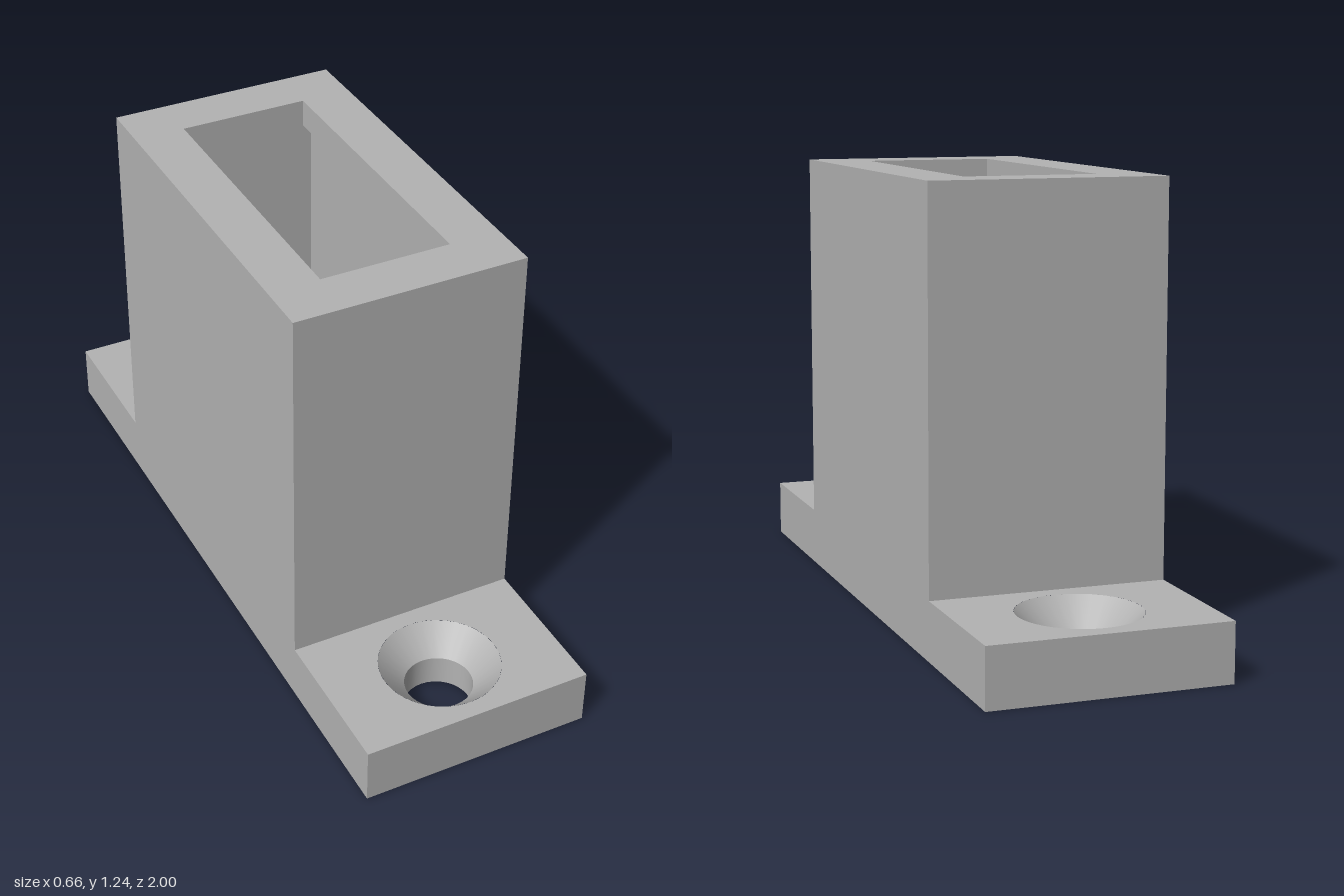
import * as THREE from 'three';

const W = 0.33, BASE_D = 1, BASE_H = 0.163;       // mounting base
const BODY_D = 0.57, TOP = 1.24;                  // hollow body
const CAV_W = 0.235, CAV_D = 0.475;               // cavity, open at the bottom
const LIP_W = 0.185, LIP_D = 0.427, LIP_Y = 1.16; // narrower mouth at the top
const HOLE_Z = 0.785, HOLE_R = 0.094, SINK_R = 0.167, SINK_Y = 0.088;
const SEGMENTS = 32;

// Rectangular outline, centred on (0, cy)
function rect(w, d, cy = 0, Type = THREE.Path) {
  const path = new Type();
  path.moveTo(-w, cy - d).lineTo(w, cy - d).lineTo(w, cy + d).lineTo(-w, cy + d).closePath();
  return path;
}

function circle(r, cy) {
  return new THREE.Path().absarc(0, cy, r, 0, Math.PI * 2, true);
}

// Horizontal face with holes, facing up or down
function flat(outline, holes, y, up) {
  outline.holes.push(...holes);
  return new THREE.ShapeGeometry(outline, SEGMENTS)
    .rotateX(up ? -Math.PI / 2 : Math.PI / 2)
    .translate(0, y, 0);
}

// Four upright walls; y0 < y1 faces outward, y0 > y1 faces inward
function walls(w, d, y0, y1) {
  const corners = [[w, d], [w, -d], [-w, -d], [-w, d]];
  const pos = [];
  corners.forEach(([x, z], i) => {
    const [nx, nz] = corners[(i + 1) % 4];
    pos.push(x, y0, z, nx, y0, nz, nx, y1, nz);
    pos.push(x, y0, z, nx, y1, nz, x, y1, z);
  });
  const geo = new THREE.BufferGeometry();
  geo.setAttribute('position', new THREE.Float32BufferAttribute(pos, 3));
  geo.computeVertexNormals();
  return geo;
}

// Inward-facing round wall from the upper to the lower radius
function bore(rTop, yTop, rLow, yLow, z) {
  const profile = [new THREE.Vector2(rTop, yTop), new THREE.Vector2(rLow, yLow)];
  return new THREE.LatheGeometry(profile, SEGMENTS).translate(0, 0, z);
}

export function createModel() {
  const model = new THREE.Group();
  model.name = 'mountingSocket';
  const grey = new THREE.MeshStandardMaterial({ color: 0xb3b3b3 });
  grey.name = 'grey';

  const part = (name, faces) => {
    const group = new THREE.Group();
    group.name = name;
    for (const [faceName, geo] of Object.entries(faces)) {
      const mesh = new THREE.Mesh(geo, grey);
      mesh.name = faceName;
      group.add(mesh);
    }
    model.add(group);
  };

  // Base plate with its openings underneath
  part('base', {
    baseSides: walls(W, BASE_D, 0, BASE_H),
    baseUnderside: flat(rect(W, BASE_D, 0, THREE.Shape),
      [rect(CAV_W, CAV_D), circle(HOLE_R, HOLE_Z), circle(HOLE_R, -HOLE_Z)], 0, false),
  });

  // Hollow body with a lip around the mouth
  part('body', {
    bodySides: walls(W, BODY_D, BASE_H, TOP),
    bodyTop: flat(rect(W, BODY_D, 0, THREE.Shape), [rect(LIP_W, LIP_D)], TOP, true),
    lipEdge: walls(LIP_W, LIP_D, TOP, LIP_Y),
    lipUnderside: flat(rect(CAV_W, CAV_D, 0, THREE.Shape), [rect(LIP_W, LIP_D)], LIP_Y, false),
    cavityWalls: walls(CAV_W, CAV_D, LIP_Y, 0),
  });

  // Front and back tabs with countersunk screw holes
  for (const [name, side] of [['frontTab', 1], ['backTab', -1]]) {
    const z = side * HOLE_Z;
    const tabCentre = -side * (BASE_D + BODY_D) / 2;
    part(name, {
      tabTop: flat(rect(W, (BASE_D - BODY_D) / 2, tabCentre, THREE.Shape),
        [circle(SINK_R, -z)], BASE_H, true),
      countersink: bore(SINK_R, BASE_H, HOLE_R, SINK_Y, z),
      screwHole: bore(HOLE_R, SINK_Y, HOLE_R, 0, z),
    });
  }

  return model;
}
